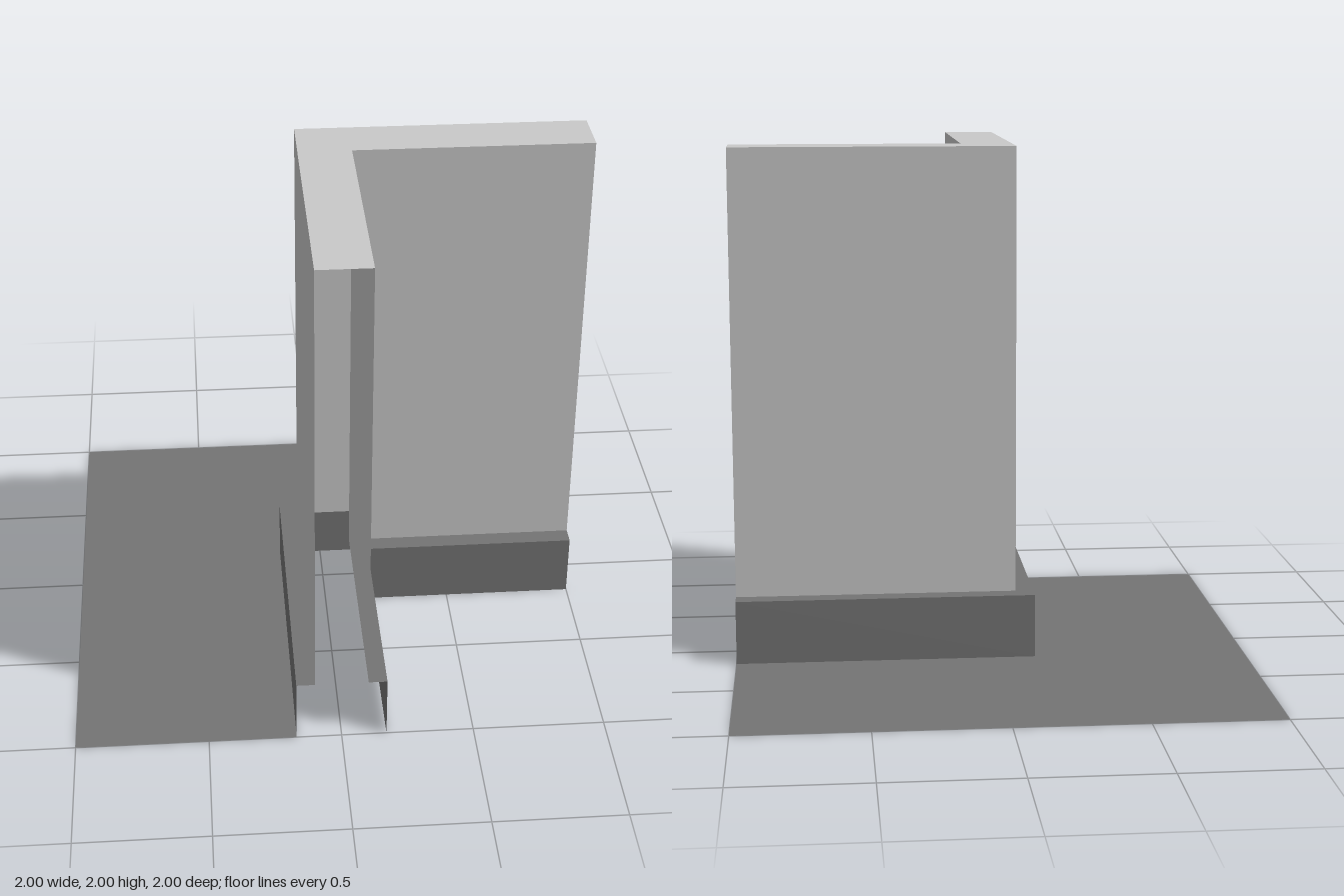
import * as THREE from 'three';

// Sweeps a cross-section of [offset, height] points around the right-angled corner.
function cornerSweep(profile) {
  const positions = [];
  const rails = profile.map(([d, y]) => [[d, y, 1], [d, y, d], [1, y, d]]);
  for (let i = 0; i < rails.length - 1; i++) {
    for (let arm = 0; arm < 2; arm++) {
      const a = rails[i][arm], b = rails[i][arm + 1];
      const c = rails[i + 1][arm + 1], d = rails[i + 1][arm];
      positions.push(...a, ...c, ...b, ...a, ...d, ...c);
    }
  }
  const geometry = new THREE.BufferGeometry();
  geometry.setAttribute('position', new THREE.Float32BufferAttribute(positions, 3));
  geometry.computeVertexNormals(); // unshared corners keep every edge sharp
  return geometry;
}

export function createModel() {
  const group = new THREE.Group();
  group.name = 'wallCorner';

  const wallGrey = new THREE.MeshStandardMaterial({ color: 0xc9c9c9, side: THREE.DoubleSide });
  wallGrey.name = 'light grey';
  const trimGrey = new THREE.MeshStandardMaterial({ color: 0x747474, side: THREE.DoubleSide });
  trimGrey.name = 'dark grey';

  const WALL = 0.1, TRIM = 0.17, LEDGE = 0.25, TOP = 2;

  function addPart(name, profile, material) {
    const mesh = new THREE.Mesh(cornerSweep(profile), material);
    mesh.name = name;
    group.add(mesh);
  }

  // Flat floor around the outside of the corner
  addPart('floor', [[-1, 0], [-TRIM, 0]], trimGrey);
  // Skirting on both sides, each an upright face and a ledge
  addPart('outerSkirting', [[-TRIM, 0], [-TRIM, LEDGE], [-WALL, LEDGE]], trimGrey);
  addPart('innerSkirting', [[WALL, LEDGE], [TRIM, LEDGE], [TRIM, 0]], trimGrey);
  // Hollow wall, open at both ends and underneath
  addPart('wall', [[-WALL, LEDGE], [-WALL, TOP], [WALL, TOP], [WALL, LEDGE]], wallGrey);

  return group;
}
